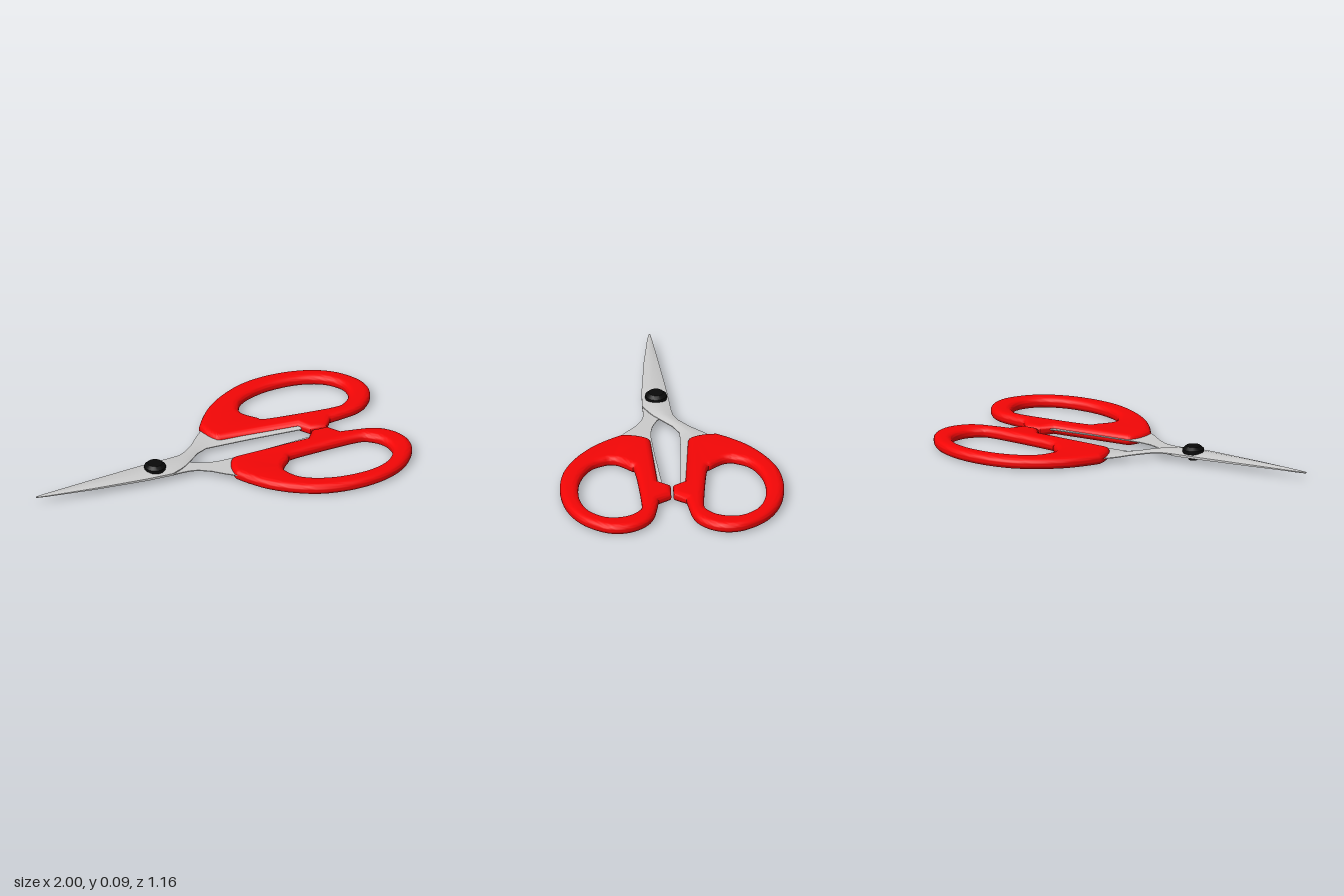
import * as THREE from 'three';
import { toCreasedNormals } from 'three/addons/utils/BufferGeometryUtils.js';

const steel = new THREE.MeshStandardMaterial({ color: 0xcccccc });
const red = new THREE.MeshStandardMaterial({ color: 0xf40606 });
const black = new THREE.MeshStandardMaterial({ color: 0x0a0a0a });

// Finger loop outline in (x, z) for the right handle
const outer = [[0.04, -0.25], [0.085, -0.32], [0.16, -0.41], [0.27, -0.495], [0.41, -0.56], [0.58, -0.582],
  [0.75, -0.558], [0.885, -0.49], [0.972, -0.385], [0.998, -0.295], [0.98, -0.21], [0.925, -0.138],
  [0.86, -0.102], [0.78, -0.085], [0.7, -0.073]];
const stopPad = [[0.655, -0.007], [0.565, -0.007], [0.52, -0.072]];
const heel = [[0.1, -0.098], [0.078, -0.11], [0.055, -0.15], [0.042, -0.2], [0.04, -0.25]];
const hole = [[0.29, -0.32], [0.33, -0.397], [0.41, -0.45], [0.53, -0.483], [0.68, -0.483], [0.8, -0.443],
  [0.87, -0.37], [0.885, -0.3], [0.865, -0.23], [0.82, -0.183], [0.77, -0.163], [0.62, -0.168],
  [0.39, -0.188], [0.355, -0.212], [0.3, -0.275], [0.29, -0.32]];

const points = (list) => list.map(([x, z]) => new THREE.Vector2(x, z));

// Rounded loop, centred on y = 0 so that half a turn about x gives its mirror twin
function makeHandleGeometry() {
  const [start, ...rim] = points(outer);
  const shape = new THREE.Shape().moveTo(start.x, start.y).splineThru(rim);
  for (const p of points(stopPad)) shape.lineTo(p.x, p.y);
  const [heelStart, ...heelRest] = points(heel);
  shape.lineTo(heelStart.x, heelStart.y).splineThru(heelRest);
  const [holeStart, ...holeRest] = points(hole);
  shape.holes.push(new THREE.Path().moveTo(holeStart.x, holeStart.y).splineThru(holeRest));
  const bevel = 0.034;
  const depth = 0.01;
  const geo = new THREE.ExtrudeGeometry(shape, {
    depth, bevelThickness: 0.025, bevelSize: bevel, bevelOffset: -bevel, bevelSegments: 6, curveSegments: 4,
  });
  geo.translate(0, 0, -depth / 2).rotateX(Math.PI / 2);
  return toCreasedNormals(geo, 0.8);
}

// Stations along x: [x, zMin, zMax, thickness]
const bladeStations = [[-1, 0.061, 0.069, 0.004], [-0.95, 0.054, 0.078, 0.006], [-0.7, 0.025, 0.104, 0.011],
  [-0.4, -0.008, 0.124, 0.015], [-0.26, -0.02, 0.125, 0.015]];
const upperShank = [[-0.2, -0.026, 0.095, 0.015], [-0.16, -0.035, 0.067, 0.014], [-0.12, -0.058, 0.03, 0.014],
  [-0.06, -0.115, -0.027, 0.012], [0, -0.19, -0.06, 0.011], [0.06, -0.25, -0.062, 0.011],
  [0.25, -0.15, -0.06, 0.011], [0.53, -0.1, -0.05, 0.011]];
const lowerShank = [[-0.2, -0.005, 0.122, 0.014], [-0.16, 0.02, 0.124, 0.013], [-0.12, 0.052, 0.133, 0.012],
  [-0.06, 0.077, 0.168, 0.011], [0, 0.087, 0.22, 0.011], [0.06, 0.087, 0.265, 0.011],
  [0.25, 0.072, 0.15, 0.011], [0.53, 0.044, 0.1, 0.011]];

// Loft with a flat inner face and a bevelled outer face (up = 1 or -1)
function makeBlade(stations, up) {
  const pos = [], index = [];
  stations.forEach(([x, z0, z1, t]) => {
    const sink = THREE.MathUtils.smoothstep(x, -0.25, 0.06); // shank drops to the handle's mid height
    const y = THREE.MathUtils.lerp(0.047, up > 0 ? 0.034 : 0.045, sink);
    const w = z1 - z0;
    pos.push(x, y, z0, x, y, z1, x, y + up * t * 0.4, z1, x, y + up * t, z0 + w * 0.68,
      x, y + up * t, z0 + w * 0.32, x, y + up * t * 0.4, z0);
  });
  const n = 6, last = (stations.length - 1) * n;
  const tri = (a, b, c) => (up > 0 ? index.push(a, b, c) : index.push(a, c, b));
  for (let i = 0; i < last; i += n) {
    for (let j = 0; j < n; j++) {
      const k = (j + 1) % n;
      tri(i + j, i + n + j, i + k);
      tri(i + k, i + n + j, i + n + k);
    }
  }
  for (let j = 1; j < n - 1; j++) {
    tri(0, j, j + 1);
    tri(last, last + j + 1, last + j);
  }
  const geo = new THREE.BufferGeometry();
  geo.setAttribute('position', new THREE.Float32BufferAttribute(pos, 3));
  geo.setIndex(index);
  return new THREE.Mesh(toCreasedNormals(geo, 0.5), steel);
}

export function createModel() {
  const group = new THREE.Group();
  const add = (name, mesh) => { mesh.name = name; group.add(mesh); };

  const handleGeo = makeHandleGeometry();
  const rightHandle = new THREE.Mesh(handleGeo, red);
  rightHandle.position.set(0, 0.037, -0.004);
  add('rightHandle', rightHandle);
  const leftHandle = new THREE.Mesh(handleGeo, red);
  leftHandle.rotation.x = Math.PI;
  leftHandle.position.set(0, 0.037, -0.006);
  add('leftHandle', leftHandle);

  add('upperBlade', makeBlade([...bladeStations, ...upperShank], 1));
  add('lowerBlade', makeBlade([...bladeStations, ...lowerShank], -1));

  // Pivot screw: chamfered head on top, small pin end below
  const head = [[0, 0.056], [0.056, 0.056], [0.056, 0.076], [0.038, 0.092], [0, 0.092]];
  const screw = new THREE.Mesh(toCreasedNormals(new THREE.LatheGeometry(points(head), 32), 0.5), black);
  screw.position.set(-0.33, 0, 0.051);
  add('pivotHead', screw);
  const pin = new THREE.Mesh(new THREE.CylinderGeometry(0.024, 0.024, 0.04, 24), black);
  pin.position.set(-0.33, 0.037, 0.051);
  add('pivotPin', pin);
  return group;
}
